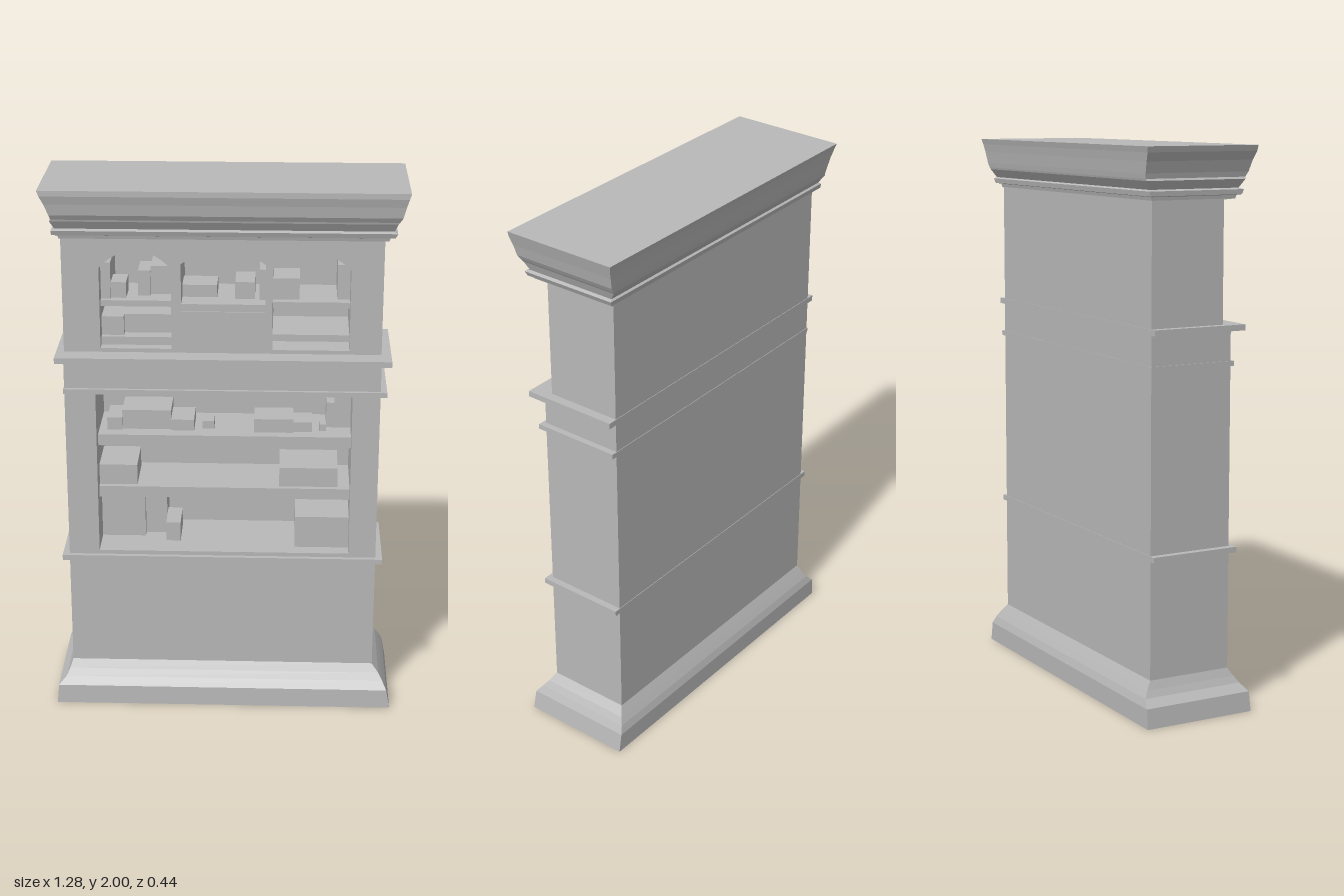
import * as THREE from 'three';

const grey = new THREE.MeshStandardMaterial({ color: 0xb8b8b8 });
grey.name = 'plaster grey';
grey.side = THREE.DoubleSide;

export function createModel() {
  const root = new THREE.Group();
  root.name = 'bookcase';

  const add = (name, geometry, parent = root) => {
    const mesh = new THREE.Mesh(geometry, grey);
    mesh.name = name;
    parent.add(mesh);
    return mesh;
  };

  // Box given by its limits on each axis
  const box = (name, x0, x1, y0, y1, z0, z1, parent) => {
    const m = add(name, new THREE.BoxGeometry(x1 - x0, y1 - y0, z1 - z0), parent);
    m.position.set((x0 + x1) / 2, (y0 + y1) / 2, (z0 + z1) / 2);
    return m;
  };

  // Moulding: stacked rectangles [y, x0, x1, z0, z1] joined by flat faces
  const moulding = (name, rows, capTop) => {
    const pos = [];
    const corners = ([y, x0, x1, z0, z1]) => [[x0, y, z1], [x1, y, z1], [x1, y, z0], [x0, y, z0]];
    const quad = (a, b, c, d) => pos.push(...a, ...b, ...c, ...a, ...c, ...d);
    for (let i = 0; i < rows.length - 1; i++) {
      const lo = corners(rows[i]), hi = corners(rows[i + 1]);
      for (let k = 0; k < 4; k++) {
        const n = (k + 1) % 4;
        quad(lo[k], lo[n], hi[n], hi[k]);
      }
    }
    if (capTop) quad(...corners(rows[rows.length - 1]));
    const g = new THREE.BufferGeometry();
    g.setAttribute('position', new THREE.Float32BufferAttribute(pos, 3));
    g.computeVertexNormals();
    add(name, g);
  };

  // Carcass section: a slab with openings cut through to the back panel
  const X0 = -0.577, X1 = 0.56, BACK = -0.164, INNER = -0.13;
  const carcass = (name, y0, y1, front, holes) => {
    const s = new THREE.Shape([[X0, y0], [X1, y0], [X1, y1], [X0, y1]].map(p => new THREE.Vector2(...p)));
    s.holes = holes;
    const g = new THREE.ExtrudeGeometry(s, { depth: front - INNER, bevelEnabled: false, curveSegments: 8 });
    g.translate(0, 0, INNER);
    add(name, g);
  };

  // Opening with an optional arched head
  const opening = (x0, x1, y0, spring, peak) => {
    const p = new THREE.Path();
    p.moveTo(x0, y0);
    p.lineTo(x1, y0);
    p.lineTo(x1, spring);
    if (peak) p.quadraticCurveTo((x0 + x1) / 2, 2 * peak - spring, x0, spring);
    else p.lineTo(x0, spring);
    p.lineTo(x0, y0);
    return p;
  };

  carcass('lowerCase', 0.15, 1.37, 0.153, [opening(-0.465, 0.46, 0.615, 1.235)]);
  carcass('upperCase', 1.37, 1.83, 0.12, [
    opening(-0.445, -0.19, 1.4, 1.7, 1.765),
    opening(-0.155, 0.145, 1.54, 1.715, 1.775),
    opening(0.17, 0.445, 1.4, 1.7, 1.765),
  ]);
  box('backPanel', X0, X1, 0.15, 1.83, BACK, INNER);

  // Hollow plinth, open underneath
  moulding('plinth', [
    [0, -0.635, 0.628, -0.206, 0.217],
    [0.072, -0.628, 0.615, -0.206, 0.213],
    [0.1, -0.6, 0.6, -0.196, 0.19],
    [0.125, -0.588, 0.585, -0.182, 0.172],
    [0.155, X0, X1, BACK, 0.153],
  ]);

  // Stepped cornice
  moulding('cornice', [
    [1.815, -0.578, 0.565, -0.165, 0.12],
    [1.818, -0.578, 0.572, -0.165, 0.165],
    [1.83, -0.58, 0.575, -0.168, 0.168],
    [1.833, -0.6, 0.592, -0.184, 0.178],
    [1.85, -0.602, 0.6, -0.187, 0.184],
    [1.855, -0.59, 0.588, -0.18, 0.17],
    [1.885, -0.605, 0.6, -0.2, 0.188],
    [1.892, -0.6, 0.605, -0.202, 0.19],
    [1.91, -0.605, 0.615, -0.205, 0.2],
    [1.95, -0.62, 0.625, -0.21, 0.207],
    [1.98, -0.635, 0.634, -0.215, 0.215],
    [2, -0.642, 0.64, -0.22, 0.215],
  ], true);

  // Projecting bands
  box('upperLedge', -0.605, 0.595, 1.365, 1.386, -0.166, 0.195);
  box('middleBand', -0.58, 0.583, 1.24, 1.258, -0.166, 0.166);
  box('lowerBand', -0.602, 0.585, 0.58, 0.6, -0.166, 0.17);

  // Shelves
  const shelves = [
    [-0.465, 0.46, 1.015, 1.058, 0.1], [-0.465, 0.46, 0.81, 0.852, 0.1],
    [-0.445, -0.19, 1.545, 1.567, 0.08], [-0.445, -0.19, 1.4, 1.43, 0.08],
    [-0.155, 0.145, 1.54, 1.567, 0.115],
    [0.17, 0.445, 1.545, 1.567, 0.08], [0.17, 0.445, 1.42, 1.445, 0.08],
  ];
  shelves.forEach(([x0, x1, y0, y1, z]) => box('shelf', x0, x1, y0, y1, INNER, z));

  // Block contents per shelf: base height, then [x0, x1, top, back, front]
  const contents = [
    [1.058, [
      [-0.435, -0.38, 1.105, -0.08, 0.05], [-0.38, -0.2, 1.132, -0.1, 0.04],
      [-0.2, -0.115, 1.1, -0.08, 0.05], [-0.085, -0.042, 1.088, -0.03, 0.03],
      [0.105, 0.25, 1.11, -0.06, 0.06], [0.25, 0.318, 1.095, -0.05, 0.05],
      [0.345, 0.37, 1.085, 0, 0.04], [0.37, 0.4, 1.155, -0.1, 0], [0.4, 0.46, 1.23, INNER, 0],
    ]],
    [0.852, [[-0.465, -0.325, 0.93, -0.1, 0.08], [0.2, 0.415, 0.926, -0.1, 0.08]]],
    [0.615, [
      [-0.465, -0.302, 0.805, INNER, 0.02], [-0.302, -0.222, 0.805, INNER, -0.01],
      [-0.222, -0.168, 0.688, -0.08, 0.06], [0.26, 0.46, 0.738, -0.08, 0.1],
    ]],
    [1.567, [
      [-0.445, -0.41, 1.7, INNER, 0.06], [-0.41, -0.355, 1.625, -0.05, 0.05],
      [-0.315, -0.27, 1.66, -0.1, 0.02], [-0.27, -0.19, 1.672, INNER, 0],
      [-0.155, -0.03, 1.612, -0.08, 0.03], [0.035, 0.105, 1.63, -0.08, 0.05],
      [0.122, 0.145, 1.68, INNER, 0.06],
      [0.17, 0.265, 1.645, -0.08, 0.05], [0.4, 0.445, 1.695, INNER, 0.04],
    ]],
    [1.43, [[-0.445, -0.365, 1.5, -0.1, 0.06], [-0.365, -0.19, 1.5, -0.1, 0.03]]],
  ];
  contents.forEach(([y0, blocks]) => {
    const row = new THREE.Group();
    row.name = 'shelfContents';
    root.add(row);
    blocks.forEach(([x0, x1, y1, z0, z1]) => box('contentBlock', x0, x1, y0, y1, z0, z1, row));
  });

  return root;
}
